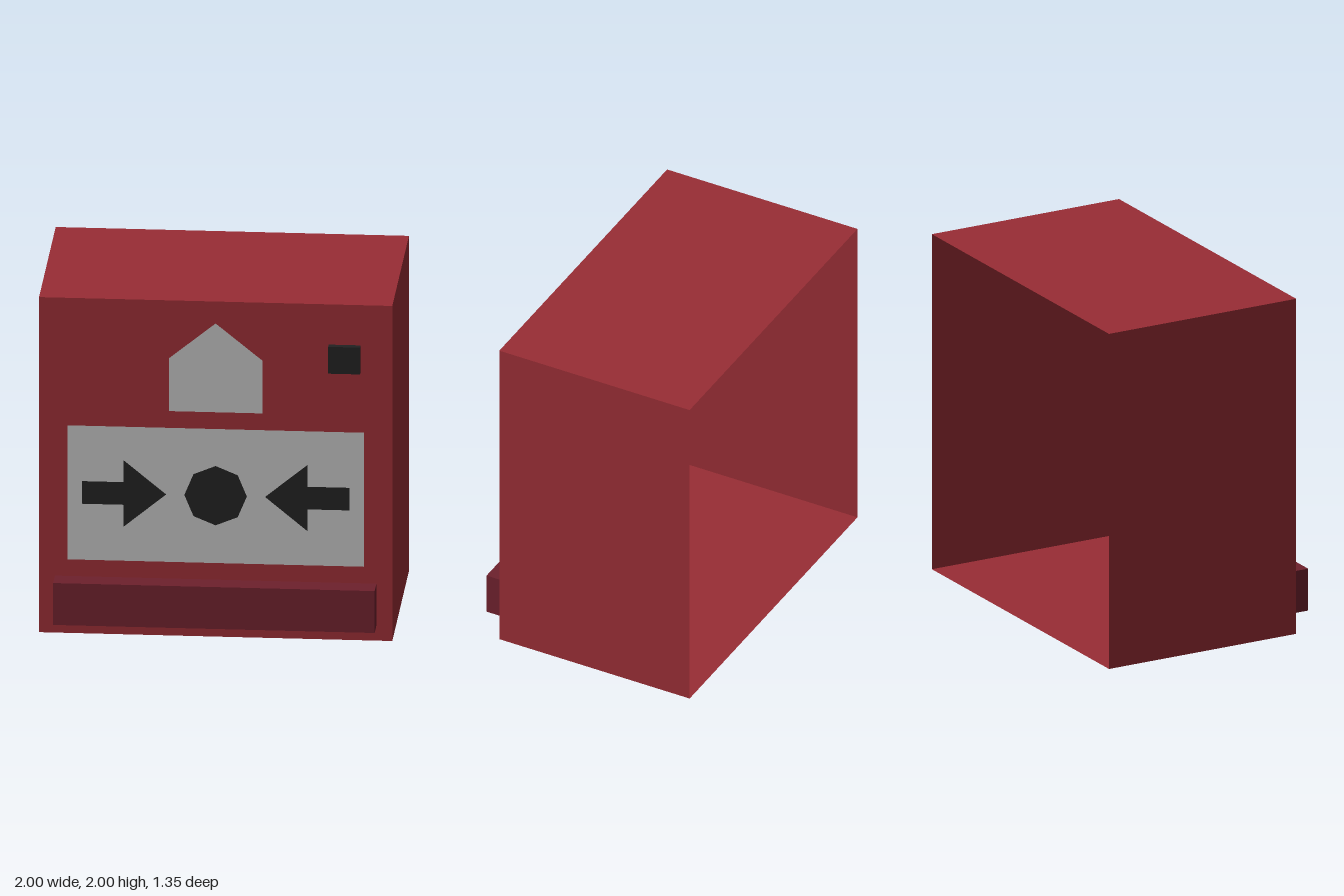
import * as THREE from 'three';

const FRONT = 0.545, BACK = -0.675;

function material(name, color, side = THREE.FrontSide) {
  const m = new THREE.MeshStandardMaterial({ color, side });
  m.name = name;
  return m;
}

export function createModel() {
  const group = new THREE.Group();
  const red = material('red', 0x992d35, THREE.DoubleSide);
  const maroon = material('maroon', 0x6e212d);
  const grey = material('light grey', 0xc0c0c0);
  const black = material('black', 0x222222);

  const add = (name, geometry, mat, x = 0, y = 0, z = 0) => {
    const mesh = new THREE.Mesh(geometry, mat);
    mesh.name = name;
    mesh.position.set(x, y, z);
    group.add(mesh);
    return mesh;
  };

  // Flat face made from an outline, laid just in front of the housing
  const decal = (name, points, mat, lift) => {
    const shape = new THREE.Shape(points.map(([x, y]) => new THREE.Vector2(x, y)));
    add(name, new THREE.ShapeGeometry(shape), mat, 0, 0, FRONT + lift);
  };

  // Thin-walled housing, open at the back (the last box face is left out)
  const shell = new THREE.BoxGeometry(2, 2, FRONT - BACK);
  shell.setIndex(Array.from(shell.index.array).slice(0, 30));
  shell.clearGroups();
  add('housing', shell, red, 0, 1, (FRONT + BACK) / 2);

  // Raised bar along the bottom and small indicator at the upper corner
  add('lowerBar', new THREE.BoxGeometry(1.82, 0.25, 0.13), maroon, 0, 0.215, FRONT + 0.065);
  add('indicator', new THREE.BoxGeometry(0.18, 0.16, 0.04), black, 0.73, 1.68, FRONT + 0.02);

  // Grey panels
  decal('housePanel', [[-0.265, 1.34], [0.265, 1.34], [0.265, 1.655], [0, 1.87], [-0.265, 1.655]], grey, 0.003);
  decal('pressPanel', [[-0.84, 0.44], [0.84, 0.44], [0.84, 1.24], [-0.84, 1.24]], grey, 0.003);

  // Octagonal dot between two arrows pointing inward
  add('centreDot', new THREE.CircleGeometry(0.177, 8), black, 0, 0.843, FRONT + 0.006);
  const arrow = [
    [0.28, 0.843], [0.52, 0.645], [0.52, 0.775], [0.757, 0.775],
    [0.757, 0.91], [0.52, 0.91], [0.52, 1.04],
  ];
  for (const [name, side] of [['leftArrow', 1], ['rightArrow', -1]]) {
    decal(name, arrow.map(([x, y]) => [x * side, y]), black, 0.006);
  }

  return group;
}
